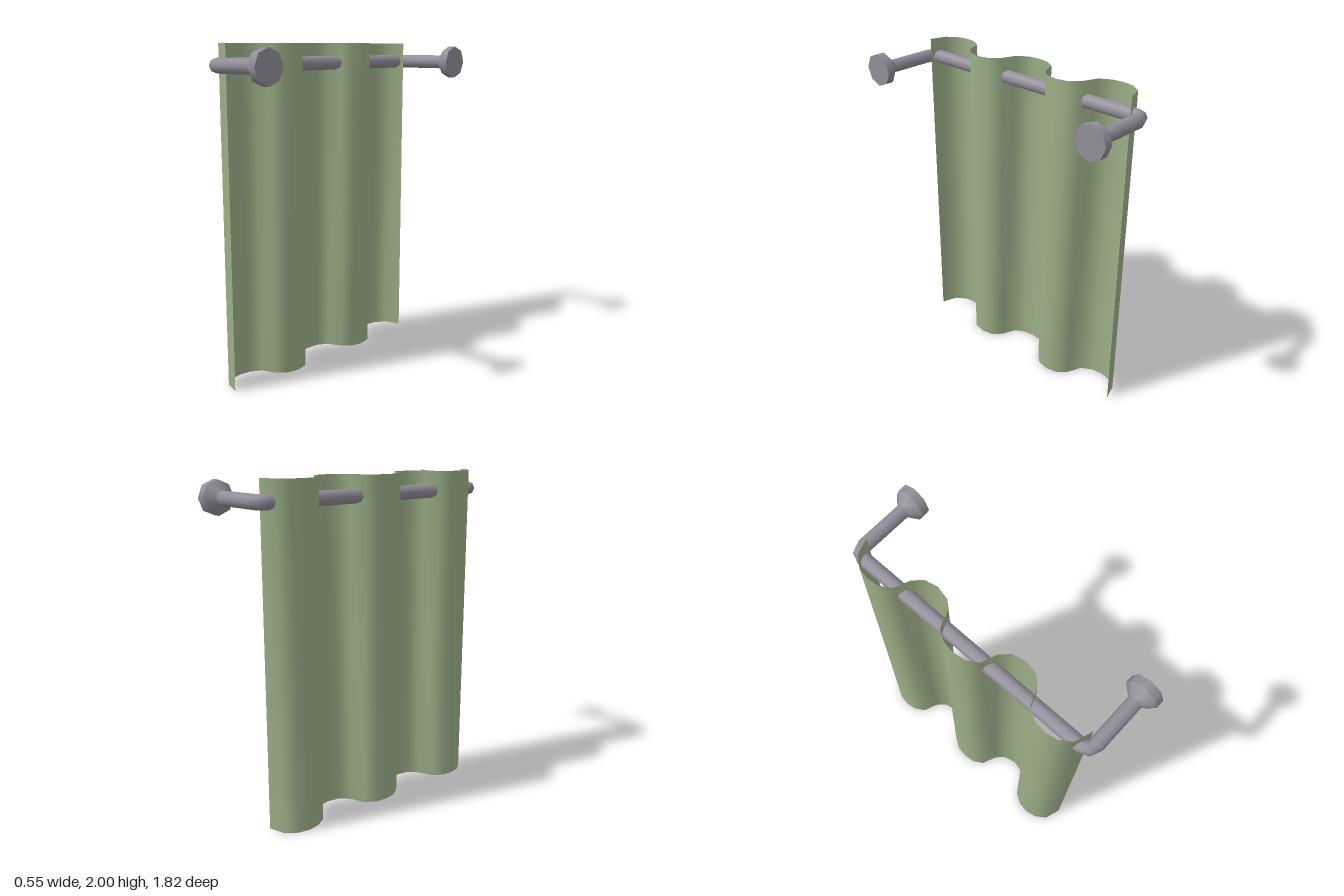
import * as THREE from 'three';

export function createModel() {
  const model = new THREE.Group();
  const fabric = new THREE.MeshStandardMaterial({ color: 0x9caf88, side: THREE.DoubleSide });
  fabric.name = 'sage fabric';
  const metal = new THREE.MeshStandardMaterial({ color: 0x928f9a });
  metal.name = 'grey metal';

  const ROD_X = -0.178, ROD_Y = 1.88, ROD_Z = 0.81, R = 0.042, BEND = 0.05;

  const add = (name, geometry, material, x, y, z) => {
    const mesh = new THREE.Mesh(geometry, material);
    mesh.name = name;
    mesh.position.set(x, y, z);
    model.add(mesh);
  };
  // Eight-sided cylinder along x, running from x0 to x1
  const alongX = (name, r0, r1, x0, x1, z, open = true) => add(name,
    new THREE.CylinderGeometry(r1, r0, x1 - x0, 8, 1, open).rotateZ(-Math.PI / 2),
    metal, (x0 + x1) / 2, ROD_Y, z);

  // Hanging sheet: half of the wave as [z, x offset], mirrored across z = 0
  const half = [[0, -0.103], [0.07, -0.095], [0.135, -0.055], [0.17, 0.035], [0.22, 0.087],
    [0.3, 0.105], [0.38, 0.087], [0.43, 0.035], [0.465, -0.055], [0.53, -0.095],
    [0.6, -0.105], [0.67, -0.092], [0.735, -0.045], [0.768, 0.055]];
  const wave = [...half.slice(1).reverse(), ...half.map(([z, x]) => [-z, x])];
  const sheet = new THREE.PlaneGeometry(1, 2, wave.length - 1, 1);
  const pos = sheet.attributes.position;
  for (let i = 0; i < pos.count; i++) {
    const [z, x] = wave[i % wave.length];
    pos.setXYZ(i, x, pos.getY(i), z);
  }
  sheet.computeVertexNormals();
  add('curtain', sheet, fabric, -0.175, 1, 0);

  // Long rod between the two bends
  add('rod', new THREE.CylinderGeometry(R, R, 2 * (ROD_Z - BEND), 8, 1, true).rotateX(Math.PI / 2),
    metal, ROD_X, ROD_Y, 0);

  // Bend, arm and wall mount at each end
  for (const s of [1, -1]) {
    const bend = new THREE.TorusGeometry(BEND, R, 8, 2, Math.PI / 2)
      .rotateZ(s > 0 ? Math.PI / 2 : Math.PI).rotateX(Math.PI / 2);
    add('rodBend', bend, metal, ROD_X + BEND, ROD_Y, s * (ROD_Z - BEND));
    const z = s * ROD_Z;
    alongX('rodArm', R, R, ROD_X + BEND, 0.18, z);
    alongX('mountCone', R, 0.099, 0.17, 0.222, z);
    alongX('mountPlate', 0.099, 0.099, 0.222, 0.272, z, false);
  }
  return model;
}
